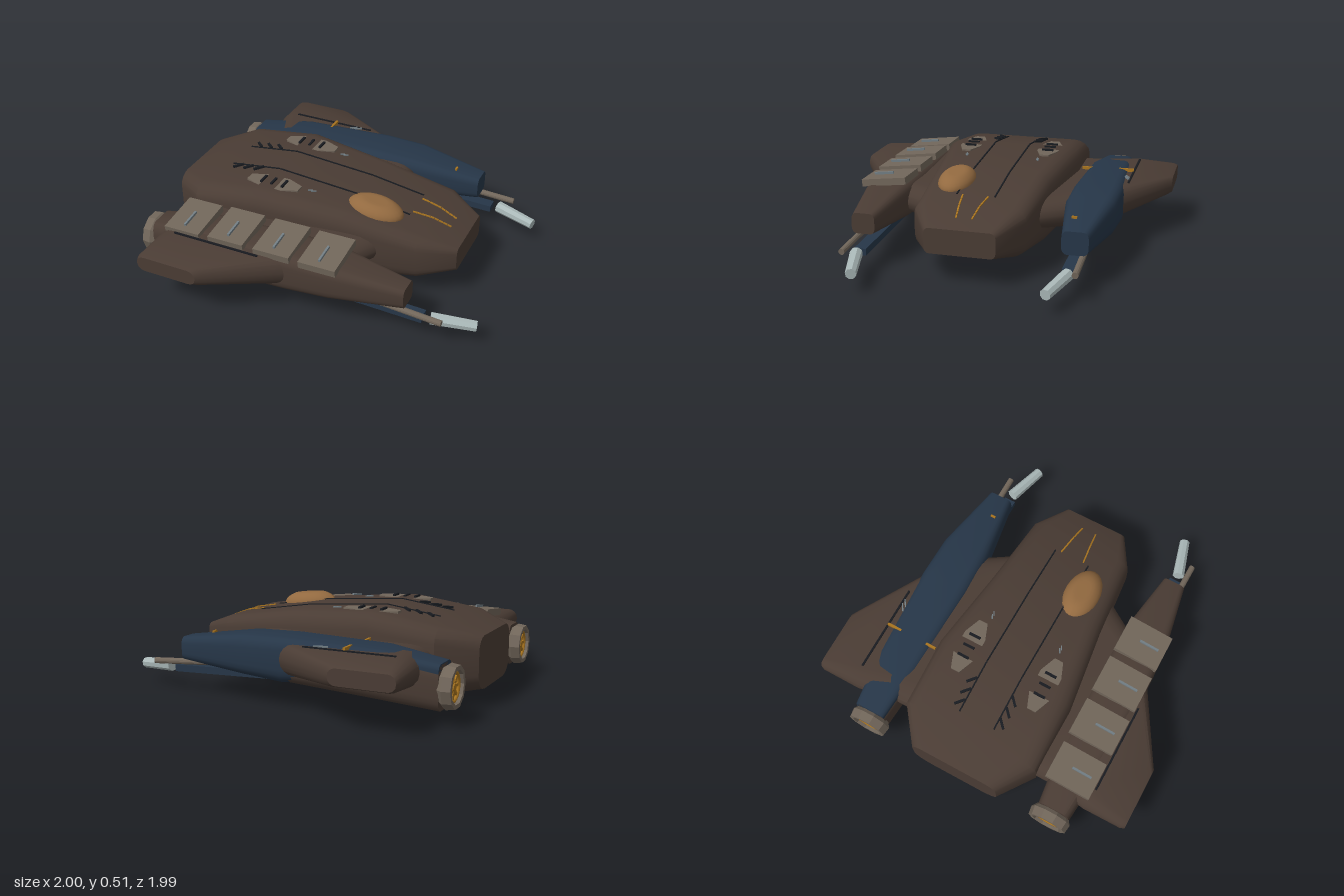
import * as THREE from 'three';
import { toCreasedNormals } from 'three/addons/utils/BufferGeometryUtils.js';

const paint = (name, color) => {
  const m = new THREE.MeshStandardMaterial({ color });
  m.name = name;
  return m;
};

// Rounded section: centre c, half width w, y0..y1, corner sizes as [width, height] fractions
function ring([p, c, w, y0, y1, tz, ty, bz, by], steps) {
  const h = y1 - y0, pts = [];
  const corners = [[1, 1, tz, ty], [-1, 1, tz, ty], [-1, -1, bz, by], [1, -1, bz, by]];
  corners.forEach(([sz, sy, fz, fy], q) => {
    const rz = fz * w, ry = fy * h;
    for (let i = 0; i <= steps; i++) {
      const a = (q + i / steps) * Math.PI / 2;
      pts.push([p, (sy > 0 ? y1 - ry : y0 + ry) + Math.sin(a) * ry, c + sz * (w - rz) + Math.cos(a) * rz]);
    }
  });
  return pts;
}

// Closed skin through sections placed along x
function loft(sections, crease = 0.55, steps = 4) {
  const rings = sections.map(s => ring(s, steps));
  const n = rings[0].length, pos = rings.flat(2), idx = [];
  for (let i = 0; i < rings.length - 1; i++) {
    for (let j = 0; j < n; j++) {
      const a = i * n + j, b = i * n + (j + 1) % n;
      idx.push(a, a + n, b + n, a, b + n, b);
    }
  }
  [0, rings.length - 1].forEach((r, end) => {
    const s = sections[r], c = pos.length / 3;
    pos.push(s[0], (s[3] + s[4]) / 2, s[1]);
    for (let j = 0; j < n; j++) {
      const a = r * n + j, b = r * n + (j + 1) % n;
      end ? idx.push(c, b, a) : idx.push(c, a, b);
    }
  });
  const g = new THREE.BufferGeometry();
  g.setAttribute('position', new THREE.Float32BufferAttribute(pos, 3));
  g.setIndex(idx);
  return toCreasedNormals(g, crease);
}

const HULL = [
  [-1, 0, 0.27, 0.1, 0.4, 0.3, 0.25, 0.4, 0.3],
  [-0.8, 0, 0.42, 0.065, 0.455, 0.25, 0.22, 0.45, 0.38],
  [-0.4, 0, 0.425, 0.02, 0.51, 0.25, 0.2, 0.46, 0.4],
  [0.1, 0, 0.36, 0.03, 0.472, 0.25, 0.22, 0.42, 0.36],
  [0.55, 0, 0.32, 0.125, 0.4, 0.25, 0.25, 0.3, 0.3],
  [0.75, 0, 0.2, 0.18, 0.325, 0.15, 0.2, 0.15, 0.2],
];

// Hull height (column 4 top, column 3 bottom) and slope at x
function skin(x, col) {
  let i = 0;
  while (i < HULL.length - 2 && x > HULL[i + 1][0]) i++;
  const a = HULL[i], b = HULL[i + 1], k = (b[col] - a[col]) / (b[0] - a[0]);
  return { y: a[col] + k * (x - a[0]), tilt: Math.atan(k) };
}

export function createModel() {
  const root = new THREE.Group();
  root.name = 'spacecraft';
  const brown = paint('hull brown', 0x4a3c34), navy = paint('navy', 0x263648);
  const tan = paint('armour tan', 0x71665a), amber = paint('canopy amber', 0x936a40);
  const gold = paint('gold', 0xa8741f), silver = paint('silver', 0xaab8b8);
  const dark = paint('dark trim', 0x181b20), grey = paint('grey metal', 0x727e84);

  const add = (name, geo, mat, x = 0, y = 0, z = 0) => {
    const m = new THREE.Mesh(geo, mat);
    m.name = name;
    m.position.set(x, y, z);
    root.add(m);
    return m;
  };
  const box = (name, mat, x, y, z, sx, sy, sz) => add(name, new THREE.BoxGeometry(sx, sy, sz), mat, x, y, z);
  // Bar lying on the hull's top or underside
  const bar = (name, mat, x, z, len, w, yaw = 0, col = 4, h = 0.014) => {
    const s = skin(x, col), m = box(name, mat, x, s.y, z, len, h, w);
    m.rotation.set(0, yaw, s.tilt, 'ZYX');
    return m;
  };
  // Cylinder between two points
  const rod = (name, mat, a, b, r0, r1 = r0, sides = 8) => {
    const p = new THREE.Vector3(...a), d = new THREE.Vector3(...b).sub(p);
    const g = toCreasedNormals(new THREE.CylinderGeometry(r1, r0, d.length(), sides), 0.5);
    const m = add(name, g, mat, ...p.clone().addScaledVector(d, 0.5).toArray());
    m.quaternion.setFromUnitVectors(new THREE.Vector3(0, 1, 0), d.normalize());
    return m;
  };

  add('hull', loft(HULL), brown);

  // Canopy bubble with a flattened crown
  const bubble = new THREE.SphereGeometry(1, 24, 16);
  const bp = bubble.attributes.position;
  for (let i = 0; i < bp.count; i++) bp.setY(i, Math.min(bp.getY(i), 0.85));
  bubble.scale(0.17, 0.075, 0.105);
  bubble.computeVertexNormals();
  add('canopy', bubble, amber, 0.24, 0.438, 0.165).rotation.z = -0.1;

  // Underside hatch following the belly
  add('bellyHatch', loft([[-0.58, 0.05], [-0.4, 0.13], [0.1, 0.13], [0.3, 0.09], [0.42, 0.04]].map(([x, w]) => {
    const { y } = skin(x, 3);
    return [x, 0, w, y - 0.014, y + 0.03, 0.1, 0.1, 0.3, 0.25];
  })), navy);

  for (const s of [1, -1]) {
    // Wing running from the hull through the pod to the tip: [z, rear x, front x, y0, y1]
    const wing = loft([[0.28, -0.8, 0.36, 0.19, 0.365], [0.5, -0.8, 0.22, 0.19, 0.365],
      [0.74, -0.84, -0.03, 0.2, 0.37], [0.97, -0.84, -0.42, 0.235, 0.345], [0.995, -0.83, -0.46, 0.245, 0.335]]
      .map(([z, a, b, y0, y1]) => [z, -s * (a + b) / 2, (b - a) / 2, y0, y1, 0.25, 0.46, 0.25, 0.46]));
    wing.rotateY(-s * Math.PI / 2);
    add('wing', wing, brown);
    box('wingHinge', dark, -0.465, 0.367, s * 0.76, 0.53, 0.014, 0.012);

    // Engine pod
    const pod = [
      [-0.93, s * 0.6, 0.095, 0.085, 0.325, 0.4, 0.3, 0.4, 0.3],
      [-0.6, s * 0.6, 0.13, 0.115, 0.375, 0.4, 0.25, 0.4, 0.3],
      [-0.05, s * 0.605, 0.145, 0.155, 0.39, 0.4, 0.25, 0.4, 0.3],
      [0.2, s * 0.605, 0.138, 0.175, 0.385, 0.4, 0.28, 0.4, 0.3],
      [0.62, s * 0.6, 0.068, 0.205, 0.325, 0.4, 0.3, 0.4, 0.3],
    ];
    add('enginePod', loft(pod), brown);
    if (s < 0) {
      // Navy shell, cut back under the rear of this pod
      const dip = [0.15, 0.1, -0.006, -0.006, -0.006], grow = [-0.004, -0.005, 0.005, 0.006, 0.006];
      add('podShell', loft(pod.map(([x, c, w, y0, y1, ...r], i) =>
        [x + (i === 4 ? 0.005 : 0), c, w + grow[i], y0 + dip[i], y1 + 0.006, ...r])), navy);
    }

    // Nozzle: faceted ring, dark well and gold fan
    const prof = [[0.085, 0], [0.1, 0], [0.122, 0.03], [0.115, 0.08], [0.092, 0.08], [0.085, 0]];
    const ringGeo = toCreasedNormals(new THREE.LatheGeometry(prof.map(p => new THREE.Vector2(...p)), 10), 0.3);
    add('nozzleRing', ringGeo, tan, -0.92, 0.205, s * 0.595).rotation.z = Math.PI / 2;
    rod('nozzleWell', brown, [-0.9, 0.205, s * 0.595], [-0.965, 0.205, s * 0.595], 0.086, 0.086, 20);
    const rim = new THREE.TorusGeometry(0.078, 0.01, 6, 24).rotateY(Math.PI / 2);
    add('fanRim', rim, gold, -0.975, 0.205, s * 0.595);
    for (let i = 0; i < 4; i++) {
      box('fanBlade', gold, -0.972, 0.205, s * 0.595, 0.012, 0.15, 0.016).rotation.x = i * Math.PI / 4;
    }
    rod('fanHub', gold, [-0.96, 0.205, s * 0.595], [-0.985, 0.205, s * 0.595], 0.026, 0.018, 12);

    // Guns under the pod nose
    const rail = box('gunRail', navy, 0.35, 0.145, s * 0.585, 0.72, 0.04, 0.07);
    rail.rotation.z = -0.035;
    rod('gunBarrel', tan, [0.3, 0.205, s * 0.635], [0.83, 0.17, s * 0.643], 0.018, 0.018, 12);
    rod('gunMuzzle', silver, [0.75, 0.14, s * 0.59], [0.99, 0.117, s * 0.523], 0.036, 0.031, 8);

    // Roof vents: the hull crest shows through the middle of each plate
    const plate = new THREE.CylinderGeometry(1, 1, 0.025, 8).rotateY(Math.PI / 8).scale(0.178, 1, 0.07);
    add('roofVent', toCreasedNormals(plate, 0.3), tan, -0.365, 0.4925, s * 0.245);
    for (const x of [-0.435, -0.37, -0.3]) box('ventSlit', dark, x, 0.509, s * 0.245, 0.014, 0.014, 0.07);

    // Roof seams, slanted slots, grips and nose ladders
    for (const [a, b] of [[-0.72, -0.4], [-0.4, 0.1], [0.1, 0.43]]) {
      bar('roofSeam', dark, (a + b) / 2, s * 0.11, b - a, 0.008, 0, 4, 0.01);
    }
    for (const x of [-0.67, -0.6, -0.53]) bar('roofSlot', dark, x, s * 0.135, 0.065, 0.014, s > 0 ? 0.75 : -0.75, 4, 0.024);
    for (const x of [-0.145, -0.125]) bar('grip', grey, x, s * 0.22, 0.03, 0.006, 0.5);
    for (let i = 0; i < 9; i++) {
      const t = i / 8;
      bar('noseRung', gold, 0.445 + 0.2 * t, s * (0.072 - 0.026 * t), 0.024, 0.009, s * 0.15, 4, 0.012);
    }

    // Belly rails with rungs at both ends
    for (const [a, b] of [[-0.52, -0.4], [-0.4, 0.1], [0.1, 0.45]]) {
      bar('bellyRail', gold, (a + b) / 2, s * 0.155, b - a, 0.012, 0, 3, 0.02);
    }
    for (const x of [-0.5, -0.45, -0.4, -0.35, -0.3, 0.26, 0.31, 0.36, 0.41]) {
      bar('bellyRung', x < 0 ? gold : grey, x, s * 0.165, 0.014, 0.06, 0, 3, 0.02);
    }
  }

  // Armour tiles on the left pod, each with a handle
  [-0.69, -0.41, -0.125, 0.15].forEach((x, i) => {
    const y = [0.385, 0.397, 0.4, 0.398][i];
    const tile = box('armourTile', tan, x, y, 0.613, 0.22, 0.042, 0.272);
    tile.rotation.set(0.12, 0, 0.015);
    const handle = box('tileHandle', grey, x, y + 0.023, 0.65, 0.012, 0.016, 0.12);
    handle.rotation.x = 0.12;
  });

  // Latches and grips on the right pod
  box('podLatch', gold, -0.44, 0.378, -0.715, 0.014, 0.02, 0.09);
  box('podLatch', gold, -0.44, 0.372, -0.475, 0.014, 0.02, 0.07);
  box('podCatch', gold, 0.47, 0.355, -0.565, 0.012, 0.02, 0.03);
  for (const [x, z] of [[-0.31, -0.74], [-0.28, -0.74], [-0.11, -0.5], [-0.08, -0.5]]) {
    box('podGrip', grey, x, 0.374, z, 0.05, 0.01, 0.007).rotation.y = z < -0.6 ? 0.6 : -0.5;
  }
  return root;
}
